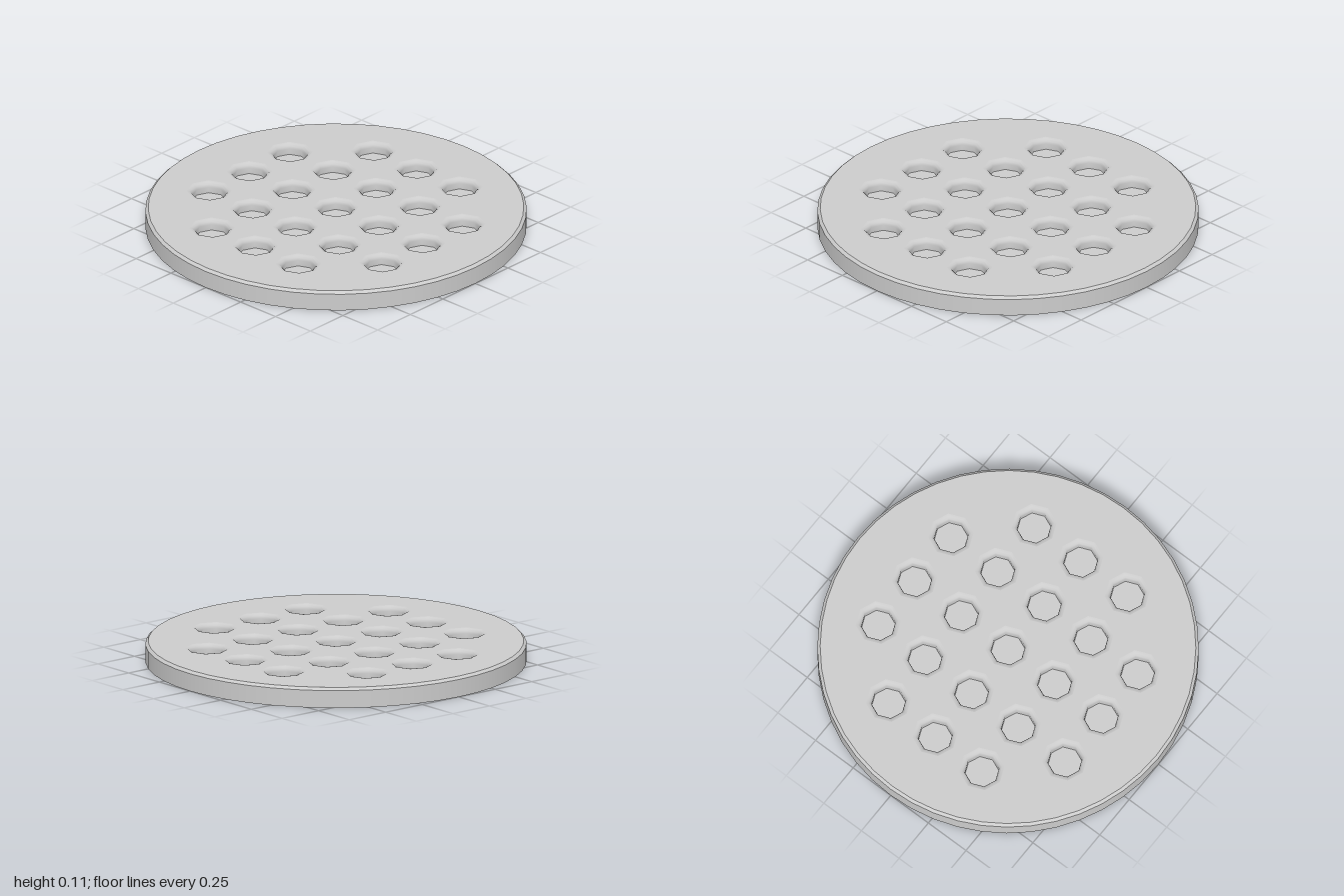
import * as THREE from 'three';

const TOP = 0.108, RIM = 0.985, SEGMENTS = 48;
const MOUTH = 0.12, CUP = 0.09, FLOOR = 0.05, PITCH = 0.31;

export function createModel() {
  const model = new THREE.Group();
  model.name = 'dimpledDisc';
  const grey = new THREE.MeshStandardMaterial({ color: 0xcccccc, side: THREE.DoubleSide });
  grey.name = 'light grey';

  const add = (parent, name, geometry) => {
    const mesh = new THREE.Mesh(geometry, grey);
    mesh.name = name;
    parent.add(mesh);
    return mesh;
  };
  const lathe = (points, sides) =>
    new THREE.LatheGeometry(points.map(([r, y]) => new THREE.Vector2(r, y)), sides);
  const ring = (x, y, r, sides) => Array.from({ length: sides }, (_, i) => {
    const a = (i / sides) * Math.PI * 2;
    return new THREE.Vector2(x + r * Math.cos(a), y + r * Math.sin(a));
  });

  // Five by five grid of dimples without its corners
  const centres = [];
  for (let i = -2; i <= 2; i++) {
    for (let j = -2; j <= 2; j++) {
      if (Math.abs(i) + Math.abs(j) < 4) centres.push([i * PITCH, j * PITCH]);
    }
  }

  // Open-bottomed outer wall and its narrow bevel
  add(model, 'outerWall', lathe([[1, 0], [1, 0.094]], SEGMENTS));
  add(model, 'rimBevel', lathe([[1, 0.094], [RIM, TOP]], SEGMENTS));

  // Thin top plate pierced by octagonal mouths
  const shape = new THREE.Shape(ring(0, 0, RIM, SEGMENTS));
  for (const [x, z] of centres) shape.holes.push(new THREE.Path(ring(x, -z, MOUTH, 8)));
  add(model, 'topPlate', new THREE.ShapeGeometry(shape).rotateX(-Math.PI / 2).translate(0, TOP, 0));

  // Cups with a rounded lip, hanging below the plate
  const wall = lathe([[MOUTH, TOP], [0.106, 0.105], [0.095, 0.096], [CUP, 0.082], [CUP, FLOOR]], 8);
  const floor = new THREE.CircleGeometry(CUP, 8).rotateX(-Math.PI / 2).translate(0, FLOOR, 0);
  for (const [x, z] of centres) {
    const dimple = new THREE.Group();
    dimple.name = 'dimple';
    dimple.position.set(x, 0, z);
    add(dimple, 'dimpleWall', wall);
    add(dimple, 'dimpleFloor', floor);
    model.add(dimple);
  }
  return model;
}
